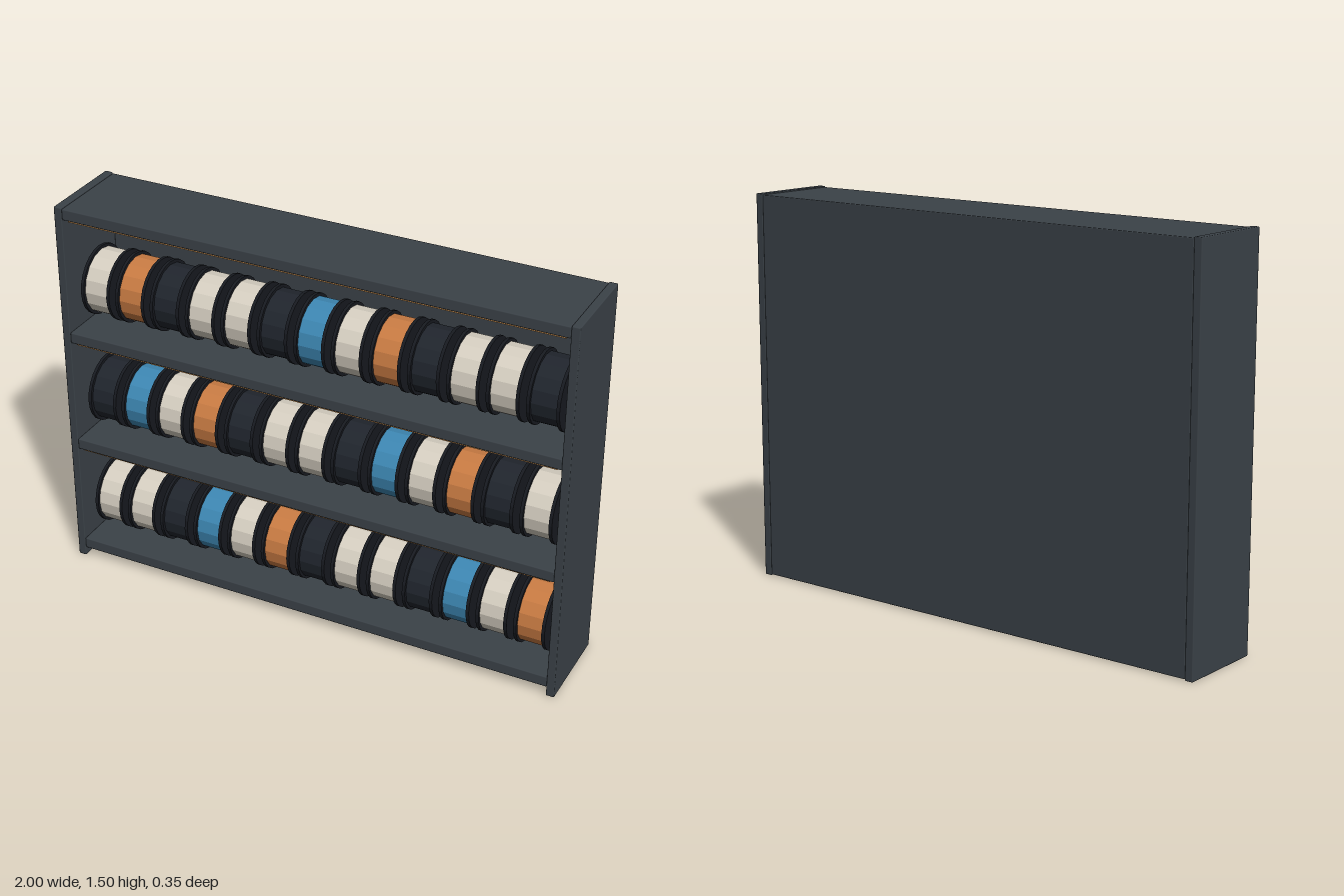
import * as THREE from 'three';
import { RoundedBoxGeometry } from 'three/addons/geometries/RoundedBoxGeometry.js';

const mat = (color, flatShading = false) => new THREE.MeshStandardMaterial({ color, flatShading });

const cabinetMat = mat(0x3b4248);
const stripMat = mat(0xc08a50);
const flangeMat = mat(0x171a20, true);
const hubMat = mat(0x6a7076, true);
const spoolMats = {
  W: mat(0xd6cfc1, true), // cream
  O: mat(0xc97b43, true), // orange
  B: mat(0x3d87b3, true), // blue
  K: mat(0x20252d, true), // charcoal
};

const W = 2, H = 1.5, D = 0.35, SIDE = 0.032, BOARD = 0.043;
const INNER = W - 2 * SIDE;

// Box with softened edges, placed by its centre
function panel(parent, name, w, h, d, x, y, z) {
  const mesh = new THREE.Mesh(new RoundedBoxGeometry(w, h, d, 1, 0.004), cabinetMat);
  mesh.name = name;
  mesh.position.set(x, y, z);
  parent.add(mesh);
}

// Cylinder lying along x
function drum(radius, width, sides) {
  return new THREE.CylinderGeometry(radius, radius, width, sides).rotateZ(Math.PI / 2);
}

const woundGeo = drum(0.124, 0.098, 16);
const flangeGeo = drum(0.135, 0.012, 24);
const hubGeo = drum(0.035, 0.006, 16);

// Spool: wound roll, two flanges and small hub caps
function createSpool(code) {
  const spool = new THREE.Group();
  spool.name = 'spool';
  const add = (name, geo, material, x) => {
    const mesh = new THREE.Mesh(geo, material);
    mesh.name = name;
    mesh.position.x = x;
    spool.add(mesh);
  };
  add('woundRoll', woundGeo, spoolMats[code], 0);
  for (const s of [-1, 1]) {
    add('flange', flangeGeo, flangeMat, s * 0.054);
    add('hubCap', hubGeo, hubMat, s * 0.061);
  }
  return spool;
}

export function createModel() {
  const model = new THREE.Group();
  model.name = 'spoolShelf';

  // Cabinet: sides and back panel
  const cabinet = new THREE.Group();
  cabinet.name = 'cabinet';
  model.add(cabinet);
  for (const s of [-1, 1]) {
    panel(cabinet, s > 0 ? 'leftSide' : 'rightSide', SIDE, H, D, s * (W - SIDE) / 2, H / 2, 0);
  }
  panel(cabinet, 'backPanel', INNER, H - 0.008, 0.014, 0, H / 2, -D / 2 + 0.008);

  // Boards by top height: base, two shelves and the top
  const boardTops = [0.08, 0.536, 0.995, 1.496];
  boardTops.forEach((top, i) => {
    const name = i === 0 ? 'baseBoard' : i === 3 ? 'topBoard' : 'shelf';
    panel(cabinet, name, INNER, BOARD, D - 0.002, 0, top - BOARD / 2, 0);

    // Thin light strip under the front edge of each upper board
    if (i > 0) {
      const strip = new THREE.Mesh(new THREE.BoxGeometry(1.9, 0.009, 0.012), stripMat);
      strip.name = 'lightStrip';
      strip.position.set(0, top - BOARD - 0.0045, D / 2 - 0.018);
      model.add(strip);
    }
  });

  // Rows of spools, bottom to top
  const rows = ['WWKBWOKWWKBWO', 'KBWOKWWKBWOKW', 'WOKWWKBWOKWWK'];
  const centres = [0.232, 0.692, 1.15];
  rows.forEach((row, r) => {
    const group = new THREE.Group();
    group.name = 'spoolRow';
    group.position.set(0, centres[r], 0);
    [...row].forEach((code, i) => {
      const spool = createSpool(code);
      spool.position.x = (i - 6) * 0.1457;
      group.add(spool);
    });
    model.add(group);
  });

  return model;
}
